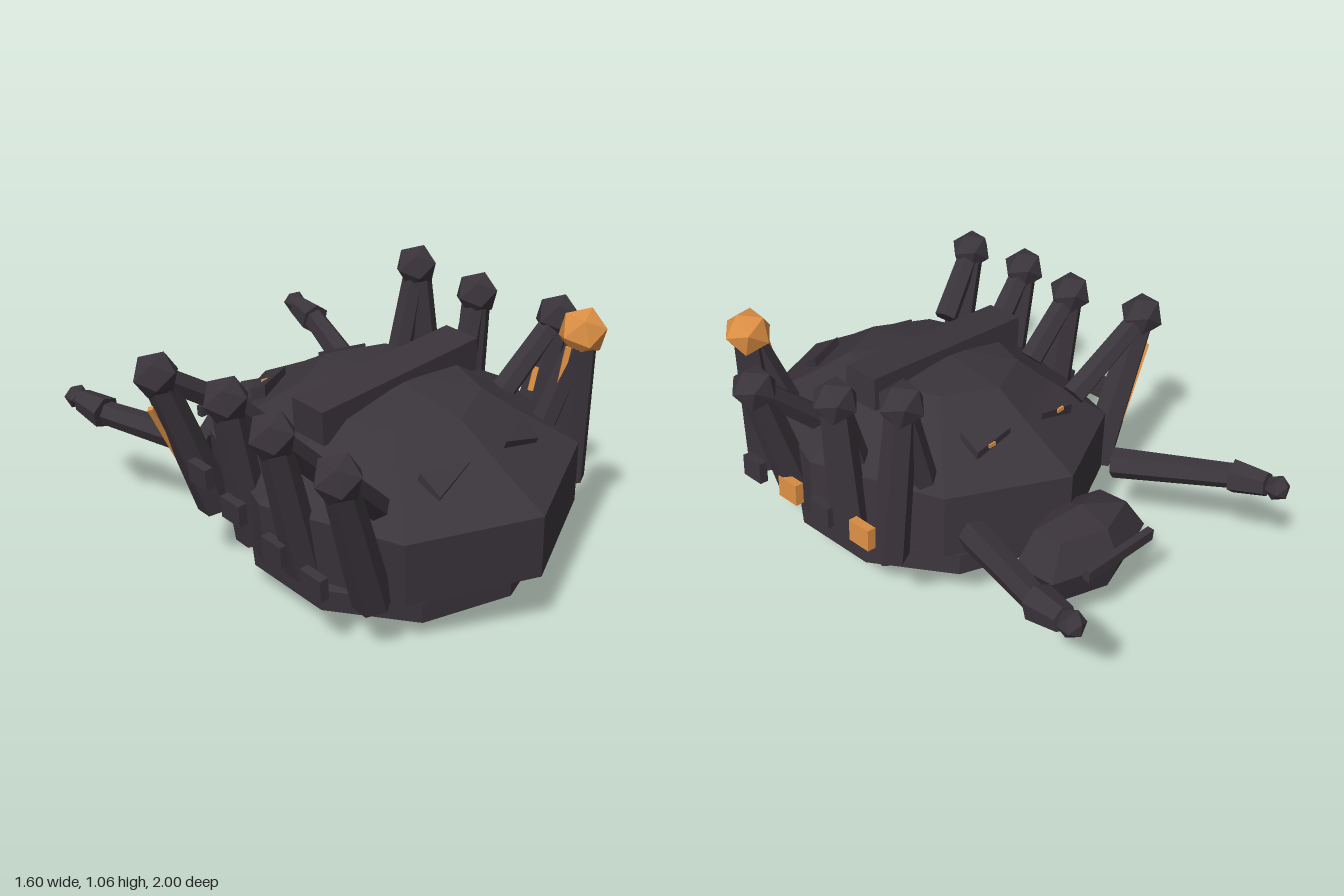
import * as THREE from 'three';
import { ConvexGeometry } from 'three/addons/geometries/ConvexGeometry.js';

const dark = new THREE.MeshStandardMaterial({ name: 'charcoal', color: 0x3a343b, flatShading: true });
const orange = new THREE.MeshStandardMaterial({ name: 'orange', color: 0xdc8f44, flatShading: true });

const V = (p) => new THREE.Vector3(...p);

export function createModel() {
  const model = new THREE.Group();
  model.name = 'crawler';

  const add = (name, geometry, material = dark, pos = [0, 0, 0], parent = model) => {
    const mesh = new THREE.Mesh(geometry, material);
    mesh.name = name;
    mesh.position.set(...pos);
    parent.add(mesh);
    return mesh;
  };

  // Tapered rod running from a to b
  const strut = (name, a, b, ra, rb, sides = 6, material = dark) => {
    const dir = V(b).sub(V(a));
    const mesh = add(name, new THREE.CylinderGeometry(rb, ra, dir.length(), sides), material);
    mesh.position.copy(V(a)).addScaledVector(dir, 0.5);
    mesh.quaternion.setFromUnitVectors(new THREE.Vector3(0, 1, 0), dir.normalize());
  };

  const lathe = (points, sides, rx, rz) => new THREE.LatheGeometry(
    points.map((p) => new THREE.Vector2(...p)), sides).scale(rx, 1, rz);

  // Tilted body: faceted shell, lower rim, belly and crossbar
  const body = new THREE.Group();
  body.name = 'body';
  body.position.set(0.02, 0.4, 0.28);
  body.rotation.set(0.063, 0.055, 0.1);
  model.add(body);
  add('shell', lathe([[0, -0.27], [0.64, -0.25], [1, -0.12], [1, 0.125], [0.66, 0.26], [0.48, 0.34], [0, 0.385]],
    8, 0.62, 0.72), dark, [0, 0, 0], body);
  add('lowerRim', lathe([[0, -0.34], [0.7, -0.33], [1, -0.275], [1, -0.19], [0, -0.18]],
    10, 0.55, 0.59), dark, [0, 0, 0], body);
  add('belly', lathe([[0, -0.4], [0.35, -0.385], [0.62, -0.35], [0.66, -0.32], [0, -0.3]],
    10, 0.53, 0.58), dark, [0, 0, 0], body);
  add('crossbar', new THREE.BoxGeometry(0.76, 0.13, 0.155), dark, [0, 0.345, -0.01], body);

  // Raised triangular brows on the front and back slopes
  const brows = [
    [[-0.24, 0.615, 0.71], [-0.06, 0.62, 0.76], [-0.22, 0.55, 0.79]],
    [[0.28, 0.67, 0.68], [0.1, 0.65, 0.77], [0.27, 0.61, 0.76]],
    [[-0.28, 0.635, -0.18], [-0.11, 0.68, -0.19], [-0.28, 0.68, -0.09]],
    [[0.22, 0.68, -0.2], [0.05, 0.7, -0.19], [0.22, 0.72, -0.11]],
  ];
  for (const brow of brows) {
    const low = brow.map(([x, y, z]) => new THREE.Vector3(x, y - 0.06, z * 0.97));
    add('brow', new ConvexGeometry([...brow.map(V), ...low]));
  }
  for (const p of [[-0.21, 0.648, -0.186], [0.15, 0.678, -0.197]]) {
    add('browGlow', new THREE.BoxGeometry(0.03, 0.016, 0.009), orange, p);
  }

  // Rear pod and its thin plate
  const pod = add('rearPod', new THREE.SphereGeometry(1, 6, 4).rotateY(Math.PI / 6).scale(0.295, 0.175, 0.178),
    dark, [0, 0.32, -0.515]);
  pod.rotation.set(0.12, 0.05, 0.06);
  const plate = add('rearPlate', new THREE.BoxGeometry(0.36, 0.045, 0.028), dark, [-0.02, 0.37, -0.68]);
  plate.rotation.set(0, 0.05, 0.08);

  // Bent legs: hip to knee, knee ball, then shin: [knee, hip, foot, ball material]
  const legs = [
    [[0.555, 0.915, 0.685], [0.44, 0.55, 0.62], [0.565, 0.33, 0.65], orange],
    [[0.71, 0.87, 0.43], [0.44, 0.6, 0.4], [0.585, 0.35, 0.4], dark],
    [[0.58, 0.91, 0.13], [0.5, 0.6, 0.14], [0.6, 0.34, 0.07], dark],
    [[0.485, 0.98, -0.115], [0.4, 0.6, -0.12], [0.56, 0.34, -0.1], dark],
    [[-0.65, 0.755, 0.79], [-0.42, 0.55, 0.7], [-0.43, 0.2, 0.7], dark],
    [[-0.665, 0.79, 0.48], [-0.44, 0.58, 0.43], [-0.5, 0.23, 0.43], dark],
    [[-0.64, 0.81, 0.19], [-0.42, 0.6, 0.18], [-0.52, 0.25, 0.17], dark],
    [[-0.715, 0.82, -0.125], [-0.36, 0.6, -0.11], [-0.48, 0.24, -0.14], dark],
  ];
  for (const [knee, hip, foot, material] of legs) {
    strut('thigh', hip, knee, 0.05, 0.045);
    strut('shin', foot, knee, 0.072, 0.056);
    const ball = add('knee', new THREE.IcosahedronGeometry(material === orange ? 0.092 : 0.087, 0), material, knee);
    ball.rotation.set(0.3, 0.5, 0.1);
  }

  // Thin orange strips on some shins
  const strips = [
    [[-0.585, 0.4, -0.17], [-0.73, 0.69, -0.15]],
    [[0.465, 0.7, 0.665], [0.49, 0.87, 0.68]],
    [[0.585, 0.6, 0.43], [0.61, 0.69, 0.43]],
  ];
  for (const [a, b] of strips) strut('shinStrip', a, b, 0.014, 0.014, 4, orange);

  // Two jointed arms reaching backwards: [root, wrist, cuff end, tip]
  const arms = [
    [[0.37, 0.475, -0.34], [0.505, 0.57, -0.79], [0.515, 0.595, -0.92], [0.52, 0.605, -0.955]],
    [[-0.38, 0.38, -0.32], [-0.595, 0.44, -0.73], [-0.625, 0.46, -0.86], [-0.63, 0.465, -0.9]],
  ];
  for (const [root, wrist, end, tip] of arms) {
    strut('arm', root, wrist, 0.06, 0.048);
    strut('cuff', wrist, end, 0.068, 0.048);
    add('armTip', new THREE.IcosahedronGeometry(0.05, 0), dark, tip);
  }

  // Small blocks hanging along both flanks
  const blocks = [
    [0.68, 0.42, 0.55, dark], [0.665, 0.435, 0.34, orange], [0.665, 0.45, 0.145, dark], [0.645, 0.465, -0.06, orange],
    [-0.595, 0.28, 0.6, dark], [-0.605, 0.32, 0.4, dark], [-0.63, 0.4, 0.2, dark], [-0.63, 0.46, 0, dark],
  ];
  for (const [x, y, z, material] of blocks) {
    const block = add('flankBlock', new THREE.BoxGeometry(0.035, 0.085, 0.1), material, [x, y, z]);
    block.rotation.set(0.06, 0.05, 0.1);
  }

  // Short pins under the rim
  add('pin', new THREE.BoxGeometry(0.025, 0.14, 0.02), dark, [0.41, 0.175, 0.65]);
  add('pin', new THREE.BoxGeometry(0.025, 0.09, 0.03), dark, [-0.34, 0.11, -0.16]);

  return model;
}
